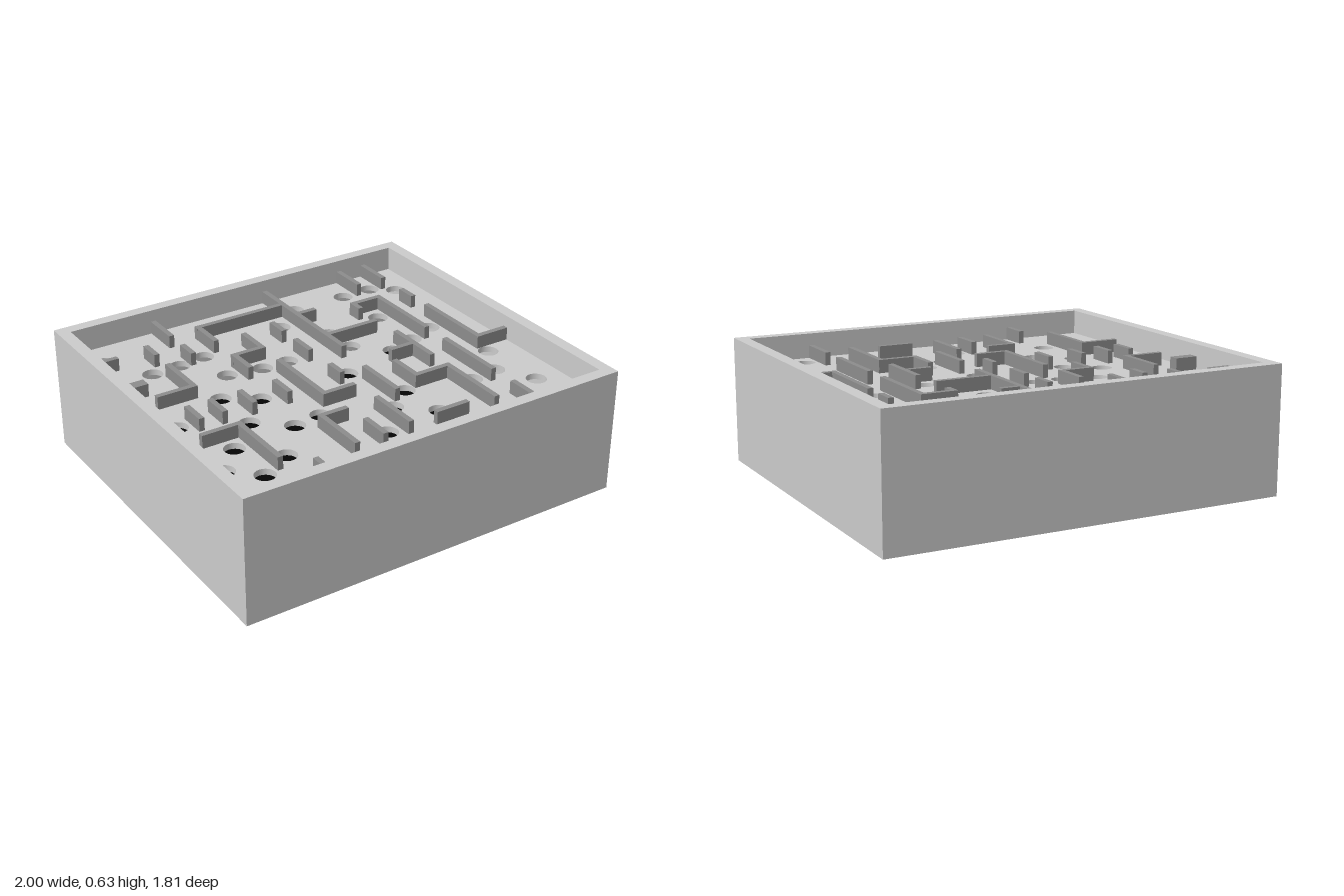
import * as THREE from 'three';

const WIDTH = 2, DEPTH = 1.81, HEIGHT = 0.63;
const INNER_W = 1.876, INNER_D = 1.69;
const BOARD_TOP = 0.505, BOARD_THICK = 0.03;
const WALL_TOP = 0.57, WALL_THICK = 0.027, HOLE_RADIUS = 0.05;

// Walls running front to back: [x, zStart, zEnd]
const LONG_WALLS = [
  [-0.495, -0.845, -0.65], [0.153, -0.845, -0.1], [0.613, -0.845, -0.65], [0.767, -0.845, -0.65],
  [-0.338, -0.68, -0.485], [-0.65, -0.625, -0.51], [-0.495, -0.54, -0.43], [-0.003, -0.515, -0.4],
  [-0.185, -0.485, -0.295], [-0.338, -0.32, -0.155], [-0.003, -0.295, -0.155], [-0.65, -0.4, -0.13],
  [0.458, -0.485, -0.405], [0.613, -0.485, -0.05], [0.767, -0.485, -0.38], [0.767, -0.265, 0.178],
  [0.458, -0.1, 0.205], [-0.003, 0.015, 0.12], [-0.77, 0.01, 0.148], [-0.65, 0.01, 0.148],
  [-0.495, 0.01, 0.148], [-0.308, 0.01, 0.148], [-0.185, -0.155, 0.258], [0.12, 0.122, 0.395],
  [0.275, 0.15, 0.342], [0.458, 0.315, 0.7], [0.613, 0.095, 0.48], [-0.65, 0.26, 0.62],
  [-0.308, 0.4, 0.7], [-0.003, 0.4, 0.675], [-0.158, 0.54, 0.7], [-0.527, 0.705, 0.845],
  [0.613, 0.62, 0.845],
];

// Walls running side to side: [z, xStart, xEnd, thickness]
const CROSS_WALLS = [
  [-0.665, -0.352, 0.14], [-0.587, -0.938, -0.82], [-0.528, 0.166, 0.26], [-0.307, -0.352, -0.172],
  [-0.295, -0.938, -0.82, 0.053], [-0.143, -0.845, -0.637], [-0.252, 0.166, 0.445], [-0.473, 0.445, 0.626],
  [0.163, 0.754, 0.938], [0.052, 0.32, 0.471], [0.245, -0.198, -0.017], [0.328, 0.262, 0.471],
  [0.273, -0.845, -0.637], [0.412, -0.321, -0.17], [0.662, 0.14, 0.32],
];

// Hole centres: [x, z]
const HOLES = [
  [-0.84, -0.685], [-0.705, -0.453], [-0.553, -0.46], [-0.413, -0.48], [-0.413, -0.25], [-0.235, -0.22],
  [-0.095, -0.218], [0.07, -0.552], [0.232, -0.682], [0.235, -0.358], [0.247, -0.185], [0.533, -0.68],
  [0.7, -0.683], [0.813, -0.6], [0.545, -0.377], [0.547, -0.085], [0.698, -0.142], [0.397, -0.035],
  [-0.553, -0.066], [-0.397, 0.035], [-0.848, 0.063], [-0.556, 0.2], [0.078, 0.046], [0.783, 0.227],
  [-0.727, 0.36], [-0.397, 0.332], [-0.25, 0.312], [0.208, 0.332], [0.07, 0.432], [0.54, 0.415],
  [0.69, 0.396], [-0.858, 0.5], [-0.565, 0.532], [-0.727, 0.62], [-0.083, 0.607], [0.228, 0.572],
  [0.796, 0.577], [-0.397, 0.733], [0.227, 0.733], [0.69, 0.733],
];

function rectangle(path, w, d) {
  path.moveTo(-w / 2, -d / 2);
  path.lineTo(w / 2, -d / 2);
  path.lineTo(w / 2, d / 2);
  path.lineTo(-w / 2, d / 2);
  path.closePath();
  return path;
}

// Lays a plan shape flat and raises it from y = bottom
function slab(shape, bottom, height) {
  return new THREE.ExtrudeGeometry(shape, { depth: height, bevelEnabled: false, curveSegments: 32 })
    .rotateX(-Math.PI / 2)
    .translate(0, bottom, 0);
}

export function createModel() {
  const model = new THREE.Group();
  model.name = 'tiltMaze';

  const grey = new THREE.MeshStandardMaterial({ color: 0xcccccc });
  const darkGrey = new THREE.MeshStandardMaterial({ color: 0x8c8c8c });
  const black = new THREE.MeshStandardMaterial({ color: 0x050505 });

  function add(name, geometry, material, parent = model) {
    const mesh = new THREE.Mesh(geometry, material);
    mesh.name = name;
    parent.add(mesh);
    return mesh;
  }

  // Outer case, open at top and bottom
  const frame = rectangle(new THREE.Shape(), WIDTH, DEPTH);
  frame.holes.push(rectangle(new THREE.Path(), INNER_W, INNER_D));
  add('caseFrame', slab(frame, 0, HEIGHT), grey);

  // Dark base that shows through the holes
  add('basePlate', slab(rectangle(new THREE.Shape(), INNER_W, INNER_D), 0, 0.03), black);

  // Playing board with drilled holes
  const board = rectangle(new THREE.Shape(), INNER_W, INNER_D);
  for (const [x, z] of HOLES) {
    board.holes.push(new THREE.Path().absarc(x, -z, HOLE_RADIUS, 0, Math.PI * 2, true));
  }
  add('board', slab(board, BOARD_TOP - BOARD_THICK, BOARD_THICK), grey);

  // Maze walls
  const walls = new THREE.Group();
  walls.name = 'mazeWalls';
  model.add(walls);
  function addWall(x, z, w, d) {
    const h = WALL_TOP - BOARD_TOP;
    add('mazeWall', new THREE.BoxGeometry(w, h, d), darkGrey, walls).position.set(x, BOARD_TOP + h / 2, z);
  }
  for (const [x, z0, z1] of LONG_WALLS) addWall(x, (z0 + z1) / 2, WALL_THICK, z1 - z0);
  for (const [z, x0, x1, t = WALL_THICK] of CROSS_WALLS) addWall((x0 + x1) / 2, z, x1 - x0, t);

  return model;
}
